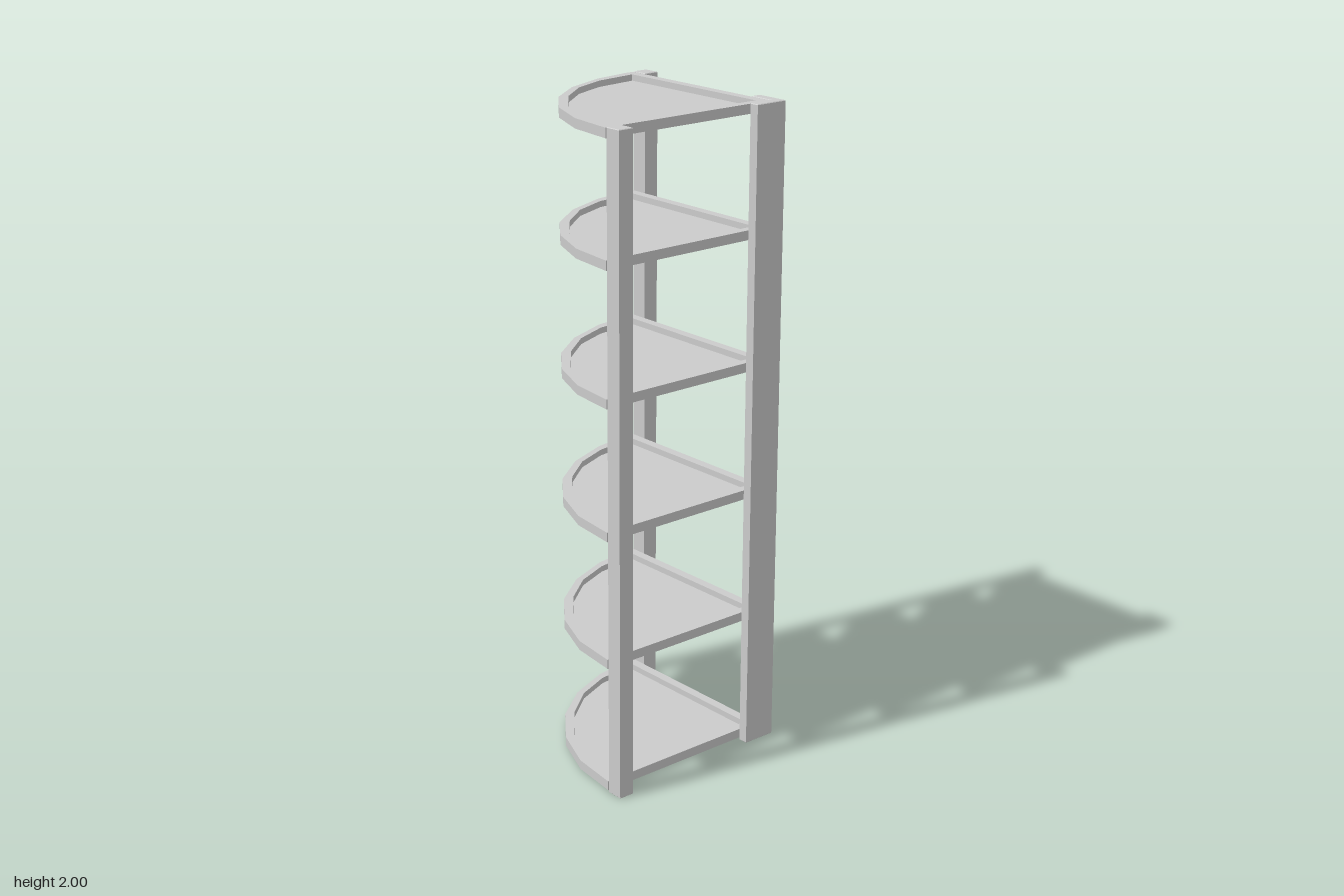
import * as THREE from 'three';

const material = new THREE.MeshStandardMaterial({ color: 0xcccccc, flatShading: true });

// Plan outlines as [x, z] points
const outer = [[-0.33, -0.278], [-0.33, -0.247], [-0.309, -0.12], [-0.249, 0.024],
  [-0.153, 0.15], [-0.028, 0.246], [0.12, 0.307], [0.276, 0.327], [0.276, -0.278]];
const inner = [[-0.298, -0.248], [-0.28, -0.105], [-0.232, 0.01], [-0.147, 0.117],
  [-0.025, 0.216], [0.122, 0.28], [0.249, 0.295], [0.249, -0.248]];
const corner = [[0.2, -0.31], [0.307, -0.31], [0.307, -0.202], [0.277, -0.202],
  [0.277, -0.279], [0.2, -0.279]];

const toPoints = (plan) => plan.map(([x, z]) => new THREE.Vector2(x, -z));
const square = (x0, x1, z0, z1) => [[x0, z0], [x1, z0], [x1, z1], [x0, z1]];

// Upright prism from a plan outline, with optional opening and eased edges
function prism(name, plan, y0, y1, { hole, bevel = 0 } = {}) {
  const shape = new THREE.Shape(toPoints(plan));
  if (hole) shape.holes.push(new THREE.Path(toPoints(hole)));
  const geometry = new THREE.ExtrudeGeometry(shape, {
    depth: y1 - y0 - 2 * bevel, bevelEnabled: bevel > 0, bevelSize: bevel,
    bevelThickness: bevel, bevelOffset: -bevel, bevelSegments: 1,
  });
  geometry.rotateX(-Math.PI / 2).translate(0, y0 + bevel, 0);
  const mesh = new THREE.Mesh(geometry, material);
  mesh.name = name;
  return mesh;
}

// Quarter-round tray: thin floor with a raised rim
function createShelf(y) {
  const shelf = new THREE.Group();
  shelf.name = 'shelf';
  shelf.add(
    prism('shelfFloor', outer, 0, 0.01),
    prism('shelfRim', outer, 0.01, 0.029, { hole: inner }),
  );
  shelf.position.y = y;
  return shelf;
}

export function createModel() {
  const model = new THREE.Group();
  model.name = 'cornerShelf';

  // Trays
  for (const y of [0.008, 0.404, 0.802, 1.202, 1.602, 1.969]) model.add(createShelf(y));

  // L-shaped post wrapping the back corner, and the two slim end posts
  const bevel = 0.002;
  model.add(
    prism('cornerPost', corner, 0, 2, { bevel }),
    prism('backPost', square(-0.329, -0.276, -0.33, -0.28), 0, 2, { bevel }),
    prism('frontPost', square(0.278, 0.33, 0.275, 0.325), 0, 2, { bevel }),
  );
  return model;
}
